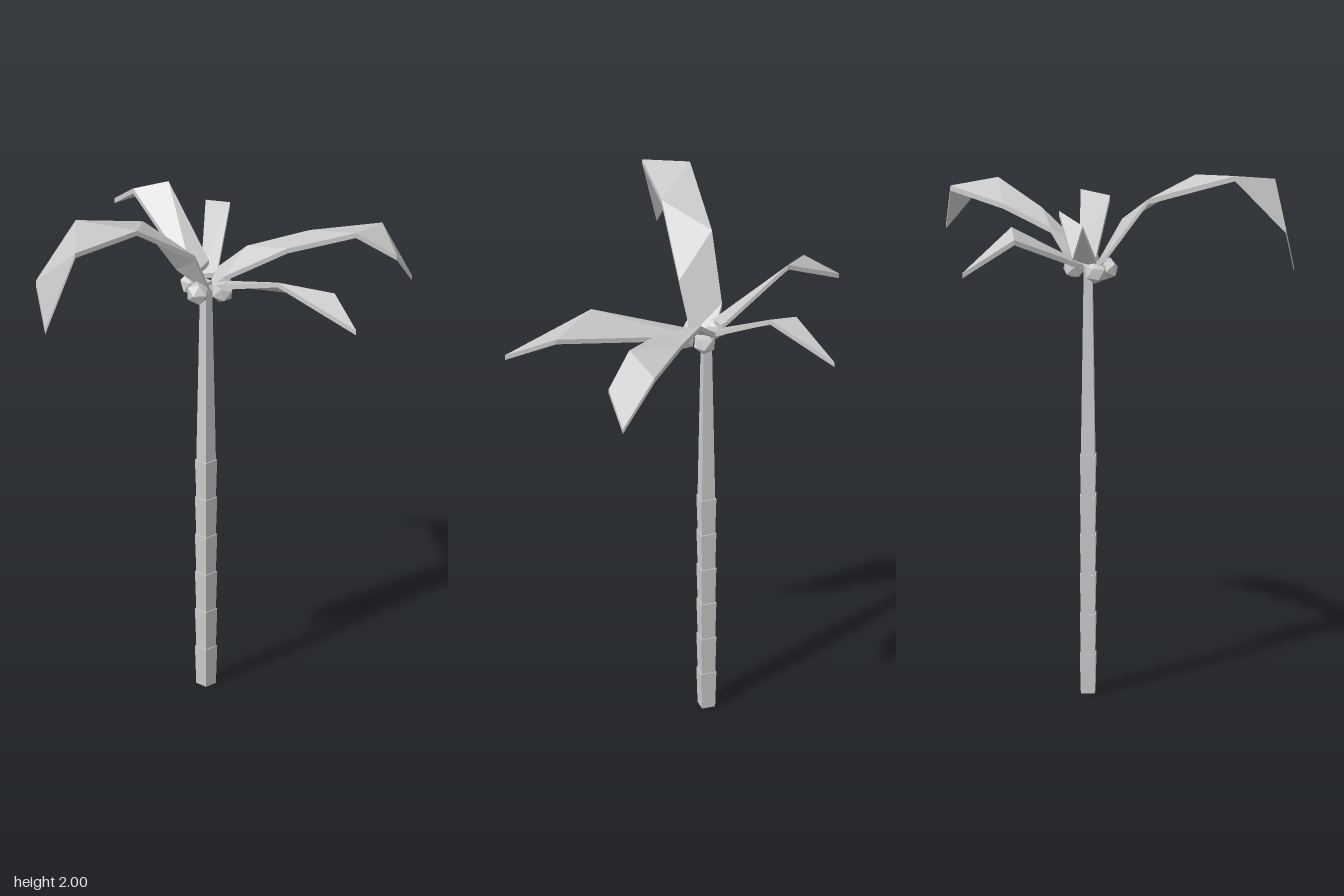
import * as THREE from 'three';

const material = new THREE.MeshStandardMaterial({ color: 0xcccccc, flatShading: true, side: THREE.DoubleSide });
const trunkX = -0.07;
const thickness = 0.02;

// Each frond runs from base to tip as pairs of [left edge, right edge] points.
const fronds = {
  frondFrontRight: [
    [[-0.05, 1.6, 0.05], [-0.1, 1.62, -0.02]],
    [[-0.11, 1.78, 0.13], [-0.18, 1.68, -0.01]],
    [[-0.32, 1.96, 0.305], [-0.3, 1.9, 0.09]],
    [[-0.545, 1.955, 0.495], [-0.545, 2.0, 0.3]],
    [[-0.655, 1.645, 0.49], [-0.69, 1.81, 0.42]],
  ],
  frondLeft: [
    [[-0.04, 1.64, -0.06], [-0.05, 1.61, 0.035]],
    [[0.08, 1.74, -0.05], [0.0, 1.66, 0.045]],
    [[0.31, 1.79, -0.08], [0.23, 1.77, 0.04]],
    [[0.575, 1.81, -0.105], [0.48, 1.835, 0.045]],
    [[0.685, 1.63, -0.03], [0.63, 1.75, 0.055]],
  ],
  frondFrontLeft: [
    [[0.0, 1.63, 0.02], [-0.06, 1.62, 0.04]],
    [[0.405, 1.745, 0.38], [0.195, 1.77, 0.34]],
    [[0.485, 1.675, 0.55], [0.484, 1.675, 0.551]],
  ],
  frondBack: [
    [[-0.09, 1.63, -0.04], [-0.03, 1.64, -0.03]],
    [[-0.075, 1.78, -0.365], [0.015, 1.8, -0.3]],
    [[-0.005, 1.675, -0.555], [-0.004, 1.675, -0.555]],
  ],
  frondBackRight: [
    [[-0.12, 1.64, 0.0], [-0.06, 1.67, -0.07]],
    [[-0.34, 1.87, -0.265], [-0.21, 1.9, -0.265]],
    [[-0.41, 1.78, -0.375], [-0.409, 1.78, -0.376]],
  ],
};

// Thin faceted blade: a four-cornered section swept through the pairs.
function frondGeometry(pairs) {
  const drop = ([x, y, z]) => [x, y - thickness, z];
  const rings = pairs.map(([l, r]) => [l, r, drop(r), drop(l)]);
  const positions = [];
  const tri = (a, b, c) => positions.push(...a, ...b, ...c);
  for (let i = 0; i < rings.length - 1; i++) {
    const p = rings[i], q = rings[i + 1];
    for (let k = 0; k < 4; k++) {
      const n = (k + 1) % 4;
      if (k === 2) { // underside shares the diagonal of the top
        tri(p[k], p[n], q[k]);
        tri(p[n], q[n], q[k]);
      } else {
        tri(p[k], p[n], q[n]);
        tri(p[k], q[n], q[k]);
      }
    }
  }
  const a = rings[0], b = rings[rings.length - 1];
  tri(a[0], a[3], a[2]); tri(a[0], a[2], a[1]);
  tri(b[0], b[1], b[2]); tri(b[0], b[2], b[3]);
  const g = new THREE.BufferGeometry();
  g.setAttribute('position', new THREE.Float32BufferAttribute(positions, 3));
  g.computeVertexNormals();
  return g;
}

export function createModel() {
  const group = new THREE.Group();
  const add = (name, geometry, x = 0, y = 0, z = 0) => {
    const mesh = new THREE.Mesh(geometry, material);
    mesh.name = name;
    mesh.position.set(x, y, z);
    group.add(mesh);
    return mesh;
  };

  // Square trunk: six flared bark sections, then a plain tapering shaft
  const profile = [new THREE.Vector2(0, 0)];
  for (let i = 0; i < 6; i++) {
    profile.push(new THREE.Vector2(0.036, i * 0.15));
    profile.push(new THREE.Vector2(0.041, (i + 1) * 0.15));
  }
  profile.push(new THREE.Vector2(0.036, 0.9), new THREE.Vector2(0.022, 1.62), new THREE.Vector2(0, 1.62));
  add('trunk', new THREE.LatheGeometry(profile, 4), trunkX);

  // Fronds
  for (const [name, pairs] of Object.entries(fronds)) add(name, frondGeometry(pairs));

  // Coconuts clustered under the crown
  const nuts = [[-0.01, 1.605, 0.06], [-0.1, 1.6, 0.065], [-0.125, 1.605, -0.01], [-0.015, 1.605, -0.02]];
  nuts.forEach(([x, y, z], i) => {
    add('coconut' + (i + 1), new THREE.IcosahedronGeometry(0.044, 0), x, y, z).rotation.set(i * 0.7, i * 1.1, 0.3);
  });

  return group;
}
